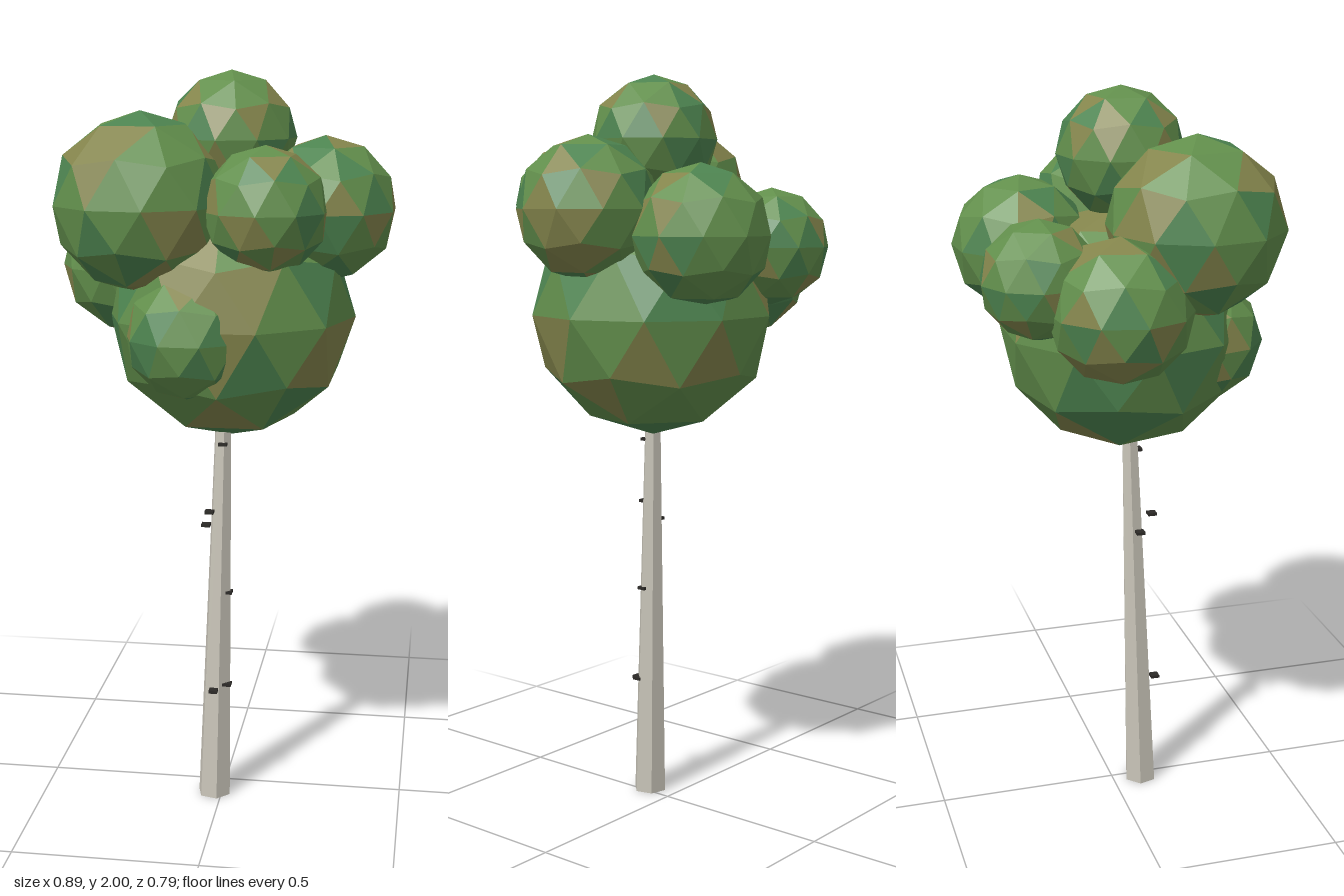
import * as THREE from 'three';

// Small seeded generator for the mottled leaf colours
function seeded(seed) {
  return () => {
    seed = (seed * 16807) % 2147483647;
    return seed / 2147483647;
  };
}

const flat = (color) => new THREE.MeshStandardMaterial({ color, flatShading: true });

// Low-poly ball standing on a vertex, its facets shared out between the leaf shades
function leafClump(name, [x, y, z], radius, spin, shades, random) {
  const ball = new THREE.IcosahedronGeometry(radius, 1);
  ball.rotateX(-Math.atan((1 + Math.sqrt(5)) / 2));
  ball.rotateY(spin);
  const source = ball.attributes.position.array;
  const facets = shades.map(() => []);
  for (let i = 0; i < source.length; i += 9) {
    const r = random();
    facets[r < 0.55 ? 0 : r < 0.8 ? 1 : 2].push(...source.slice(i, i + 9));
  }
  const clump = new THREE.Group();
  clump.name = name;
  facets.forEach((points, i) => {
    const geometry = new THREE.BufferGeometry();
    geometry.setAttribute('position', new THREE.Float32BufferAttribute(points, 3));
    geometry.computeVertexNormals();
    const mesh = new THREE.Mesh(geometry, shades[i]);
    mesh.name = ['leafFacets', 'darkLeafFacets', 'dryLeafFacets'][i];
    clump.add(mesh);
  });
  clump.position.set(x, y, z);
  return clump;
}

export function createModel() {
  const tree = new THREE.Group();
  tree.name = 'tree';
  const random = seeded(41);

  // Trunk: tapered six-sided pole, leaning slightly from foot to crown
  const height = 1.2;
  const trunkGeometry = new THREE.CylinderGeometry(0.02, 0.047, height, 6);
  trunkGeometry.rotateY(Math.PI / 12);
  trunkGeometry.translate(0, height / 2, 0);
  const p = trunkGeometry.attributes.position;
  for (let i = 0; i < p.count; i++) {
    const t = p.getY(i) / height;
    p.setX(i, p.getX(i) - 0.021 + 0.024 * t);
    p.setZ(i, p.getZ(i) + 0.082 - 0.034 * t);
  }
  const trunk = new THREE.Mesh(trunkGeometry, flat(0xc8c4b8));
  trunk.name = 'trunk';
  tree.add(trunk);

  // Bark marks: thin dark dashes around the trunk
  const barkMaterial = flat(0x2c2a27);
  const markGeometry = new THREE.BoxGeometry(0.024, 0.008, 0.024);
  const marks = [
    [-0.045, 0.79, 0.07], [-0.03, 0.838, 0.107], [0.002, 1.02, 0.073],
    [0.016, 0.6, 0.074], [-0.018, 0.325, 0.123], [0.016, 0.335, 0.092],
  ];
  for (const at of marks) {
    const mark = new THREE.Mesh(markGeometry, barkMaterial);
    mark.name = 'barkMark';
    mark.position.set(...at);
    tree.add(mark);
  }

  // Crown: one large clump with smaller ones around and above it
  const shades = [flat(0x628f4c), flat(0x4d8450), flat(0x84854c)];
  const clumps = [
    ['mainClump', [0.02, 1.37, 0.035], 0.33, 0],
    ['topClump', [0.02, 1.83, 0.03], 0.17, 0.2],
    ['frontRightClump', [-0.195, 1.67, 0.165], 0.232, 0.5],
    ['frontLeftClump', [0.13, 1.66, 0.215], 0.162, 0.9],
    ['leftClump', [0.265, 1.65, 0.045], 0.188, 0.3],
    ['backLeftClump', [0.13, 1.583, -0.215], 0.183, 0.7],
    ['backRightClump', [-0.155, 1.55, -0.23], 0.155, 1.1],
    ['rightClump', [-0.263, 1.485, -0.05], 0.187, 0.1],
    ['lowFrontClump', [-0.06, 1.34, 0.225], 0.168, 0.6],
  ];
  const crown = new THREE.Group();
  crown.name = 'crown';
  for (const [name, at, radius, spin] of clumps) {
    crown.add(leafClump(name, at, radius, spin, shades, random));
  }
  tree.add(crown);
  return tree;
}
